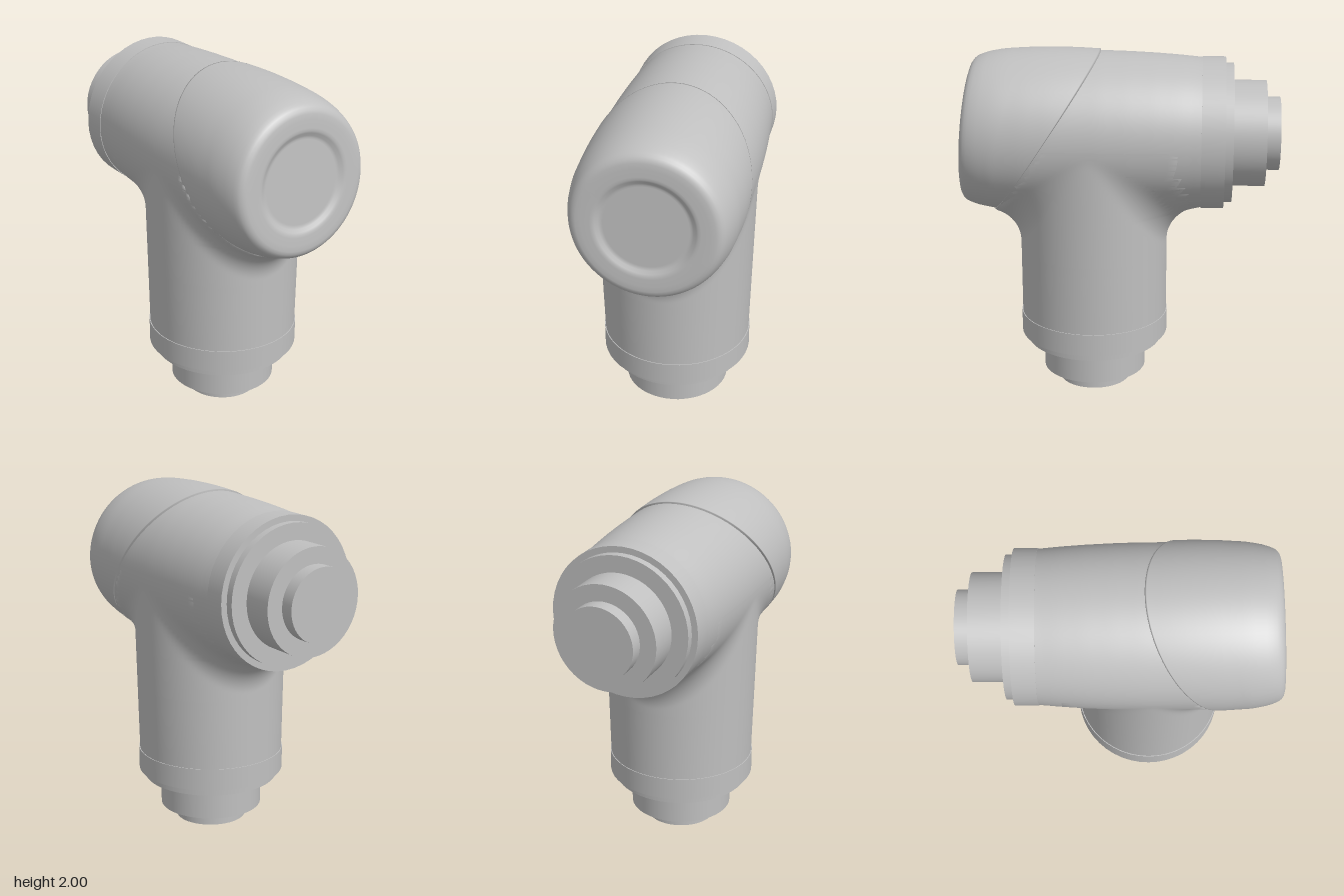
import * as THREE from 'three';

const AXIS_Y = 1.525; // height of the horizontal barrel axis
const AXIS_Z = 0.16;  // depth of the vertical neck axis
const FILLET = 0.2;

// Slanted parting plane between housing and end cap
const seamZ = (y) => 0.73 - (y - 1.07) * 0.667;

// Piecewise linear lookup in [position, value] pairs
function lookup(table, p) {
  if (p <= table[0][0]) return table[0][1];
  for (let i = 1; i < table.length; i++) {
    const [p0, v0] = table[i - 1];
    const [p1, v1] = table[i];
    if (p <= p1) return v0 + ((v1 - v0) * (p - p0)) / (p1 - p0);
  }
  return table[table.length - 1][1];
}

const barrelRadius = (z) =>
  lookup([[-0.46, 0.425], [-0.33, 0.437], [-0.2, 0.446], [-0.05, 0.453], [0.1, 0.457]], z);

// Smooth surface through closed rings; fn(row, angle) gives [x, y, z]
function loft(rows, cols, fn) {
  const pos = [];
  const index = [];
  for (let i = 0; i < rows; i++) {
    for (let j = 0; j < cols; j++) {
      pos.push(...fn(i, (j / cols) * Math.PI * 2));
      if (i === rows - 1) continue;
      const a = i * cols + j;
      const b = i * cols + ((j + 1) % cols);
      index.push(a, a + cols, b, b, a + cols, b + cols);
    }
  }
  const geo = new THREE.BufferGeometry();
  geo.setAttribute('position', new THREE.Float32BufferAttribute(pos, 3));
  geo.setIndex(index);
  geo.computeVertexNormals();
  return geo;
}

// Signed field of neck and barrel joined by a rolling-ball fillet
function jointField(x, y, z) {
  const sx = x / (1 + 0.065 * (y - 0.44));
  const dz = z - AXIS_Z;
  const dy = y - AXIS_Y;
  const ra = Math.hypot(sx, dz) || 1e-6;
  const rb = Math.hypot(x, dy) || 1e-6;
  const a = ra - 0.425;
  const b = rb - barrelRadius(z);
  const c = Math.min((sx * x) / (ra * rb), 0.9999);
  const u = FILLET - a;
  const v = FILLET - b;
  let d = Math.min(a, b);
  if (u > c * v && v > c * u) {
    d = FILLET - Math.sqrt((u * u + v * v - 2 * c * u * v) / (1 - c * c));
  }
  return Math.max(d, z - seamZ(y) + 0.004);
}

// Neck: each ring is found by searching outward from the vertical axis
function neckGeometry() {
  const levels = [];
  for (let i = 0; i <= 6; i++) levels.push(0.42 + i * 0.07);
  for (let i = 1; i <= 24; i++) levels.push(0.84 + i * 0.0108);
  for (let i = 1; i <= 20; i++) levels.push(1.099 + i * 0.0213);
  return loft(levels.length, 112, (i, t) => {
    const y = levels[i];
    const cx = Math.cos(t);
    const cz = Math.sin(t);
    let lo = 0.2;
    let hi = 0.655;
    for (let n = 0; n < 24; n++) {
      const m = (lo + hi) / 2;
      if (jointField(m * cx, y, AXIS_Z + m * cz) < 0) lo = m;
      else hi = m;
    }
    return [lo * cx, y, AXIS_Z + lo * cz];
  });
}

// Barrel: from the slanted seam back to the rear flange
function barrelGeometry() {
  const rows = 20;
  return loft(rows, 80, (i, t) => {
    const front = seamZ(AXIS_Y + 0.457 * Math.sin(t));
    const z = THREE.MathUtils.lerp(front, -0.47, i / (rows - 1));
    const r = barrelRadius(z);
    return [r * Math.cos(t), AXIS_Y + r * Math.sin(t), z];
  });
}

// End cap: dished, slightly tilted face, rounded rim, bulging wall, seam lip
function capGeometry() {
  // [radius, depth behind the face]
  const face = [
    [0, 0.02], [0.23, 0.02], [0.24, 0.02], [0.252, 0.016], [0.268, 0.006], [0.28, 0.001],
    [0.295, 0], [0.34, 0], [0.37, 0.001], [0.388, 0.006], [0.403, 0.016], [0.414, 0.029],
    [0.423, 0.048], [0.431, 0.07],
  ];
  const wall = [[0.1, 0.44], [0.18, 0.455], [0.35, 0.465], [0.48, 0.467], [0.6, 0.465], [0.72, 0.459]];
  const steps = [0, 0.1, 0.2, 0.3, 0.4, 0.5, 0.6, 0.7, 0.8, 0.9, 0.985, 1];
  const rows = face.length + steps.length + 1;
  return loft(rows, 80, (i, t) => {
    const s = Math.sin(t);
    const end = 0.873 - 0.073 * 0.46 * s - seamZ(1.532 + 0.46 * s);
    let r, w;
    if (i < face.length) {
      [r, w] = face[i];
    } else {
      const k = i - face.length;
      w = THREE.MathUtils.lerp(0.1, end, steps[Math.min(k, steps.length - 1)]);
      r = k < steps.length ? lookup(wall, w) : 0.4;
    }
    return [r * Math.cos(t), 1.532 + r * s, 0.873 - 0.073 * r * s - w];
  });
}

// Stepped connector: flange, collar, shaft and tip, pointing down from y = 0.44
function connector(name, material) {
  const group = new THREE.Group();
  group.name = name;
  const parts = [
    ['flange', 0.43, 0.31, 0.44],
    ['collar', 0.395, 0.265, 0.312],
    ['shaft', 0.3, 0.08, 0.267],
    ['tip', 0.207, 0, 0.082],
  ];
  for (const [part, r, y0, y1] of parts) {
    const mesh = new THREE.Mesh(new THREE.CylinderGeometry(r, r, y1 - y0, 48), material);
    mesh.name = part;
    mesh.position.y = (y0 + y1) / 2;
    group.add(mesh);
  }
  return group;
}

export function createModel() {
  const model = new THREE.Group();
  model.name = 'elbowJoint';
  const grey = new THREE.MeshStandardMaterial({ color: 0xc0c0c0 });
  grey.name = 'light grey';

  const bodies = [
    ['neckHousing', neckGeometry()],
    ['barrelHousing', barrelGeometry()],
    ['endCap', capGeometry()],
  ];
  for (const [name, geometry] of bodies) {
    const mesh = new THREE.Mesh(geometry, grey);
    mesh.name = name;
    model.add(mesh);
  }

  const lower = connector('lowerConnector', grey);
  lower.position.z = AXIS_Z;
  model.add(lower);

  const rear = connector('rearConnector', grey);
  rear.rotation.x = Math.PI / 2;
  rear.position.set(0, AXIS_Y, -0.895);
  model.add(rear);

  return model;
}
